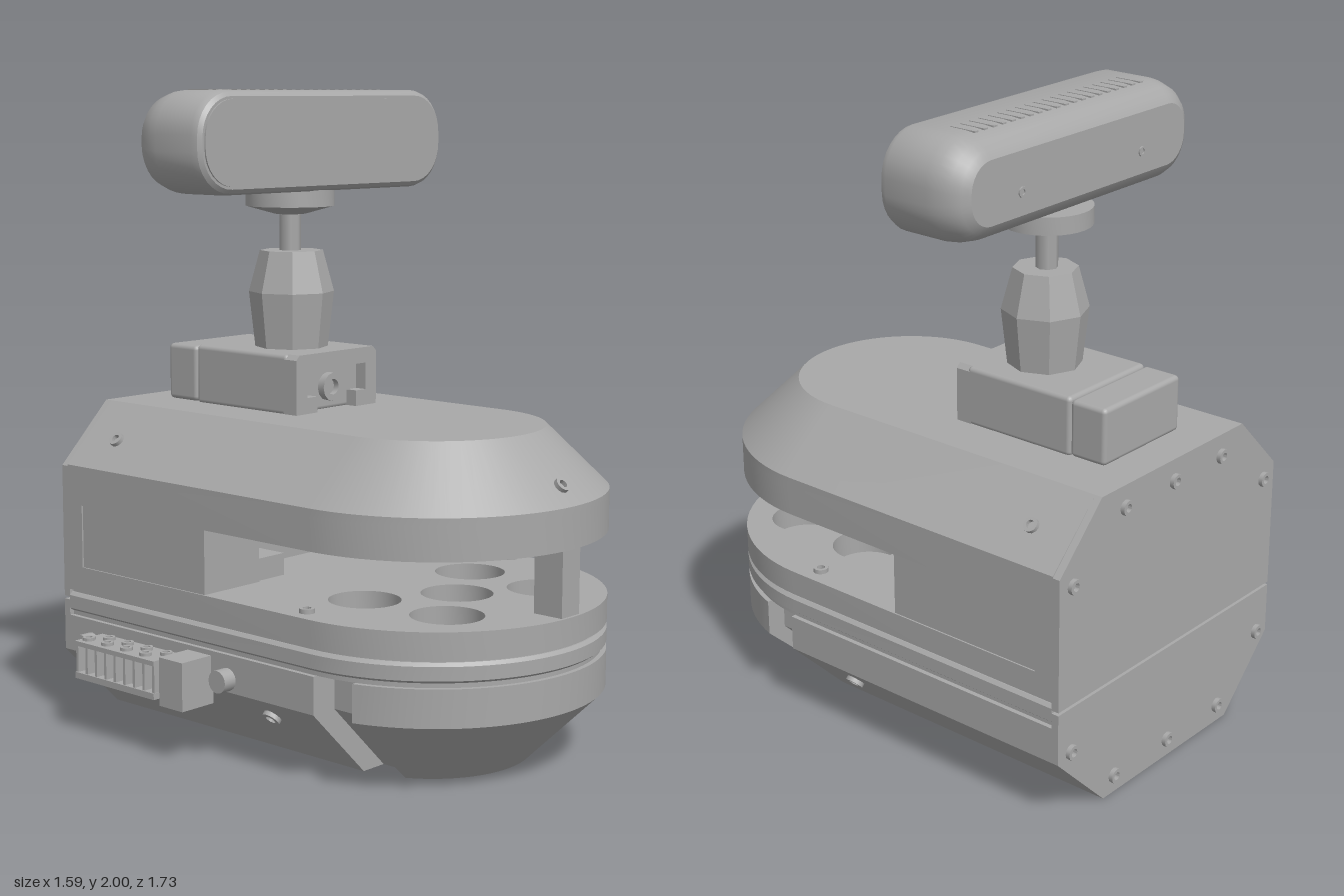
import * as THREE from 'three';
import { toCreasedNormals } from 'three/addons/utils/BufferGeometryUtils.js';
import { RoundedBoxGeometry } from 'three/addons/geometries/RoundedBoxGeometry.js';

const BACK = -1.045;

export function createModel() {
  const model = new THREE.Group();
  const unit = new THREE.Group();
  unit.name = 'sensorUnit';
  // The whole unit stands turned about the vertical axis
  unit.position.set(0.253, 0, 0.32);
  unit.rotation.y = 0.604;
  model.add(unit);

  const grey = new THREE.MeshStandardMaterial({ color: 0xa8a8a8 });
  grey.name = 'grey';

  const add = (name, geo, x = 0, y = 0, z = 0) => {
    const mesh = new THREE.Mesh(geo, grey);
    mesh.name = name;
    mesh.position.set(x, y, z);
    unit.add(mesh);
    return mesh;
  };
  const box = (name, x0, x1, y0, y1, z0, z1) =>
    add(name, new THREE.BoxGeometry(x1 - x0, y1 - y0, z1 - z0), (x0 + x1) / 2, (y0 + y1) / 2, (z0 + z1) / 2);
  const V = (x, y) => new THREE.Vector2(x, y);

  // D-shaped plan: straight back, half-round front, optional side notches
  const dShape = (r, notch = false, n = 40) => {
    const a0 = notch ? Math.asin(0.15 / r) : 0;
    const side = notch ? [V(r, BACK), V(r, 0.02), V(r - 0.09, 0.02), V(r - 0.09, 0.15)] : [V(r, BACK)];
    const arc = [];
    for (let i = 0; i <= n; i++) {
      const a = a0 + (Math.PI - 2 * a0) * i / n;
      arc.push(V(r * Math.cos(a), r * Math.sin(a)));
    }
    return [...side, ...arc, ...side.map(p => V(-p.x, p.y)).reverse()];
  };

  // Closed solid through sections { y, pts } with equal point counts
  const loft = (sections) => {
    const pos = [], idx = [], n = sections[0].pts.length;
    for (const s of sections) for (const p of s.pts) pos.push(p.x, s.y, p.y);
    for (let k = 0; k < sections.length - 1; k++) {
      for (let i = 0; i < n; i++) {
        const a = k * n + i, b = k * n + (i + 1) % n;
        idx.push(a, a + n, b, b, a + n, b + n);
      }
    }
    const top = (sections.length - 1) * n;
    for (const [a, b, c] of THREE.ShapeUtils.triangulateShape(sections[0].pts, [])) idx.push(a, b, c);
    for (const [a, b, c] of THREE.ShapeUtils.triangulateShape(sections.at(-1).pts, [])) idx.push(top + a, top + c, top + b);
    const g = new THREE.BufferGeometry();
    g.setAttribute('position', new THREE.Float32BufferAttribute(pos, 3));
    g.setIndex(idx);
    return toCreasedNormals(g, 0.45);
  };
  const dLoft = (rows, notch) => loft(rows.map(([y, r]) => ({ y, pts: dShape(r, notch) })));

  // Flat slab from a plan outline with round holes [x, z, r]
  const slab = (pts, y0, y1, holes = []) => {
    const s = new THREE.Shape(pts);
    for (const [x, z, r] of holes) s.holes.push(new THREE.Path().absarc(x, z, r, 0, Math.PI * 2, true));
    const g = new THREE.ExtrudeGeometry(s, { depth: y1 - y0, bevelEnabled: false, curveSegments: 24 });
    return toCreasedNormals(g.rotateX(Math.PI / 2).translate(0, y1, 0), 0.45);
  };
  const upright = (pts, z0, z1) =>
    new THREE.ExtrudeGeometry(new THREE.Shape(pts), { depth: z1 - z0, bevelEnabled: false }).translate(0, 0, z0);

  // Socket screw whose head faces along dir
  const screw = (x, y, z, dir, r = 0.024, h = 0.014) => {
    const profile = [V(0, -h), V(r, -h), V(r, h), V(r * 0.55, h), V(r * 0.55, 0), V(0, 0)];
    const m = add('screw', toCreasedNormals(new THREE.LatheGeometry(profile, 12), 0.6), x, y, z);
    m.quaternion.setFromUnitVectors(new THREE.Vector3(0, 1, 0), new THREE.Vector3(...dir).normalize());
  };

  // Lower hull and seam bands
  add('lowerHull', dLoft([[0, 0.32], [0.22, 0.54], [0.335, 0.54]], true));
  add('lowerSeam', dLoft([[0.335, 0.525], [0.35, 0.525]]));
  add('middleBand', dLoft([[0.35, 0.53], [0.358, 0.54], [0.4, 0.54], [0.41, 0.53]]));
  add('upperSeam', dLoft([[0.41, 0.525], [0.42, 0.525]]));

  // Deck with wells
  const wells = [[0, 0.11, 0.11], [-0.23, 0.26, 0.11], [0.23, 0.26, 0.11], [-0.25, -0.04, 0.11], [0.25, -0.04, 0.11]];
  add('deck', slab(dShape(0.54), 0.42, 0.5, wells));

  // Rear block between deck and roof, with a recessed front
  const half = [V(0.535, BACK), V(0.535, -0.43), V(0.3, -0.43), V(0.3, -0.52), V(0.2, -0.6)];
  add('rearBlock', slab([...half, ...half.map(p => V(-p.x, p.y)).reverse()], 0.5, 0.7));
  for (const s of [-1, 1]) {
    box('recessLedge', s * 0.24 - 0.06, s * 0.24 + 0.06, 0.5, 0.57, -0.58, -0.44);
    box('rearSideFrame', s * 0.5 - 0.04, s * 0.5 + 0.04, 0.42, 0.82, BACK, -0.98);
    screw(s * 0.48, 0.5, -0.06, [0, 1, 0]);
  }
  box('frontPost', -0.042, 0.042, 0.5, 0.7, 0.43, 0.53);

  // Roof
  add('roofRim', slab(dShape(0.54), 0.7, 0.8, [[0, 0, 0.42]]));
  add('roof', dLoft([[0.8, 0.54], [0.825, 0.54], [1.01, 0.35]]));
  add('ceilingCone', new THREE.CylinderGeometry(0.34, 0.2, 0.06, 32), 0, 0.77, 0);

  // Back plates
  const mirrorX = (p) => [...p, ...p.map(q => V(-q.x, q.y)).reverse()];
  add('lowerBackPlate', upright(mirrorX([V(0.32, 0), V(0.54, 0.22), V(0.54, 0.385)]), -1.07, BACK));
  add('upperBackPlate', upright(mirrorX([V(0.54, 0.395), V(0.54, 0.82), V(0.35, 1.01)]), -1.07, BACK));
  for (const [x, y] of [[0.24, 0.94], [0.48, 0.78], [0.48, 0.24], [0.27, 0.06]])
    for (const s of [-1, 1]) screw(s * x, y, -1.07, [0, 0, -1]);
  for (const y of [0.94, 0.06]) screw(0, y, -1.07, [0, 0, -1]);

  // Screws on the sloped sides
  for (const s of [-1, 1]) {
    screw(s * 0.455, 0.907, -0.9, [s, 1, 0]);
    screw(s * 0.48, 0.16, -0.2, [s, -1, 0], 0.03);
  }
  screw(0, 0.875, 0.487, [0, 1, 1]);

  // Side connector with ribs and terminal screws
  box('connectorBody', -0.6, -0.53, 0.18, 0.3, -0.89, -0.53);
  box('connectorTop', -0.655, -0.54, 0.285, 0.3, -0.89, -0.53);
  box('connectorBase', -0.655, -0.54, 0.18, 0.2, -0.89, -0.53);
  for (let i = 0; i < 9; i++) {
    const z = -0.885 + i * 0.0435;
    box('connectorRib', -0.65, -0.59, 0.19, 0.29, z - 0.005, z + 0.005);
    if (i < 8) screw(i % 2 ? -0.575 : -0.62, 0.3, z + 0.022, [0, 1, 0], 0.02, 0.01);
  }
  box('connectorPlug', -0.66, -0.53, 0.17, 0.32, -0.5, -0.4);
  for (const z of [-0.94, -0.33]) {
    const stud = add('sideStud', new THREE.CylinderGeometry(0.035, 0.035, 0.06, 16), -0.555, 0.26, z);
    stud.rotation.z = Math.PI / 2;
  }

  // Mount block on the roof, with a T slot in its front
  add('mountRear', new RoundedBoxGeometry(0.37, 0.18, 0.13, 2, 0.015), 0, 1.1, -0.885);
  add('mountBlock', new RoundedBoxGeometry(0.37, 0.19, 0.4, 2, 0.015), 0, 1.1, -0.62);
  const tSlot = [V(0.185, 1.01), V(0.185, 1.18), V(0.17, 1.195), V(-0.17, 1.195), V(-0.185, 1.18), V(-0.185, 1.01),
    V(-0.09, 1.01), V(-0.09, 1.06), V(-0.135, 1.06), V(-0.135, 1.145), V(0.135, 1.145), V(0.135, 1.06), V(0.09, 1.06), V(0.09, 1.01)];
  add('mountSlot', upright(tSlot.reverse(), -0.435, -0.38));
  screw(0, 1.08, -0.415, [0, 0, 1], 0.045, 0.02);

  // Faceted ball head, stem and seat disc
  const head = new THREE.LatheGeometry([V(0, 1.19), V(0.115, 1.19), V(0.135, 1.37), V(0.1, 1.5), V(0, 1.5)], 8).toNonIndexed();
  head.computeVertexNormals();
  add('ballHead', head, 0, 0, -0.575);
  add('stem', new THREE.CylinderGeometry(0.034, 0.034, 0.17, 8), 0, 1.56, -0.58);
  add('seatDisc', toCreasedNormals(new THREE.LatheGeometry(
    [V(0, 1.61), V(0.05, 1.615), V(0.14, 1.64), V(0.14, 1.695), V(0, 1.695)], 32), 0.4), 0, 0, -0.58);

  // Camera bar: rounded rectangle, softly closed at the back
  const roundRect = (inset) => {
    const w = 0.555 - inset, h = 0.155 - inset, r = Math.min(0.13, h * 0.88), pts = [];
    [[1, 1], [-1, 1], [-1, -1], [1, -1]].forEach(([sx, sy], q) => {
      for (let i = 0; i <= 8; i++) {
        const a = (q + i / 8) * Math.PI / 2;
        pts.push(V(sx * (w - r) + r * Math.cos(a), sy * (h - r) + r * Math.sin(a)));
      }
    });
    return pts;
  };
  const bar = (rows) => loft(rows.map(([y, d]) => ({ y, pts: roundRect(d) }))).rotateX(Math.PI / 2);
  add('cameraBar', bar([[-0.715, 0.06], [-0.7, 0.036], [-0.675, 0.016], [-0.63, 0.003], [-0.6, 0],
    [-0.45, 0], [-0.43, 0.006], [-0.42, 0.018]]), 0, 1.845, 0);
  add('cameraFace', bar([[-0.42, 0.026], [-0.415, 0.026]]), 0, 1.845, 0);
  for (let i = 0; i < 20; i++) {
    const x = -0.38 + i * 0.04;
    box('topVent', x - 0.008, x + 0.008, 1.997, 2.002, -0.635, -0.545);
    if (Math.abs(x) > 0.15) box('bottomVent', x - 0.008, x + 0.008, 1.688, 1.693, -0.635, -0.545);
  }
  for (const s of [-1, 1]) screw(s * 0.28, 1.82, -0.712, [0, 0, -1], 0.016, 0.008);

  return model;
}
